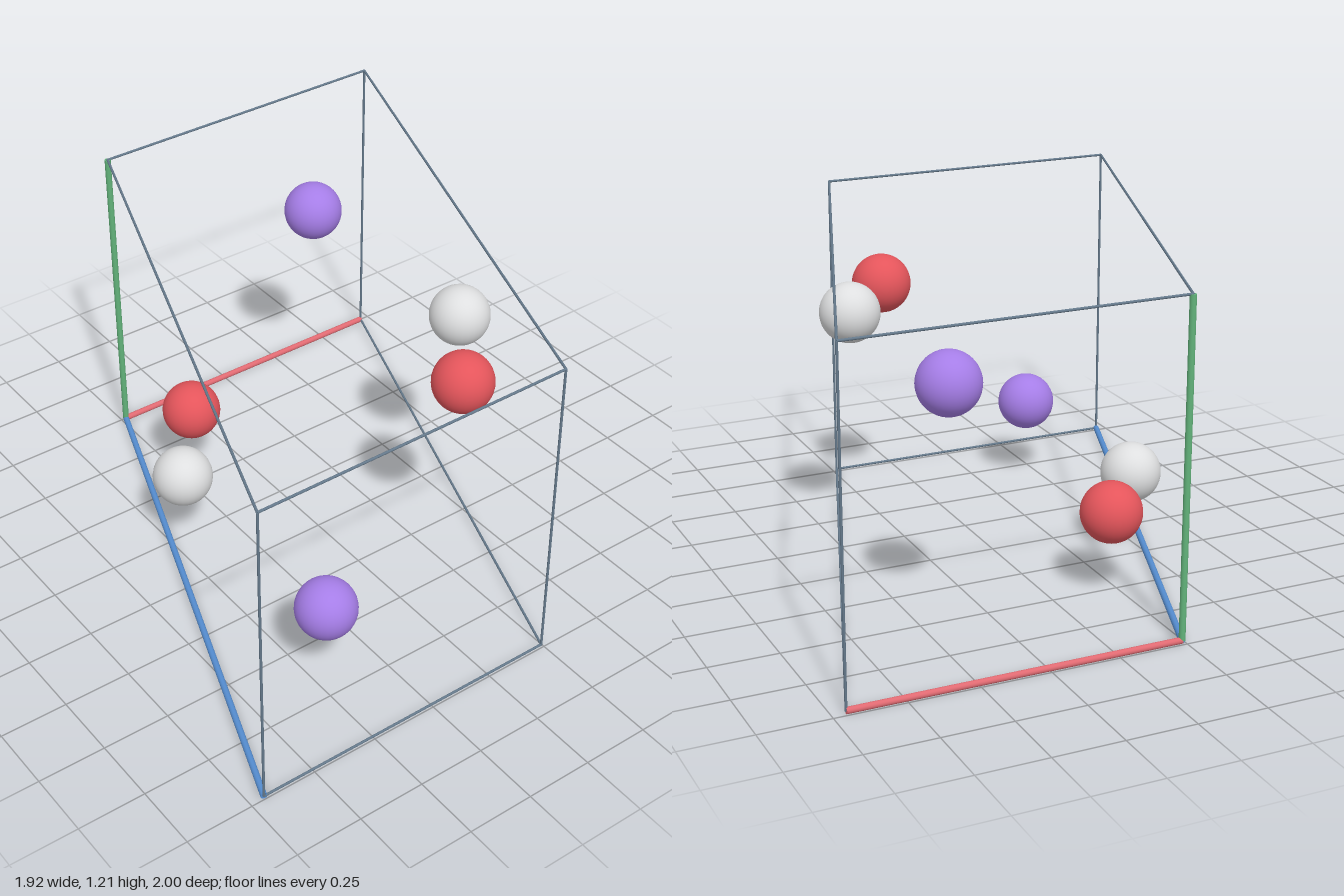
import * as THREE from 'three';

const mat = (name, color) => {
  const m = new THREE.MeshStandardMaterial({ color });
  m.name = name;
  return m;
};

export function createModel() {
  const group = new THREE.Group();
  const edgeMat = mat('slate grey', 0x64788a);
  const purple = mat('purple', 0xa67ee8);
  const red = mat('red', 0xe4555b);
  const grey = mat('light grey', 0xdedfe0);
  const axisRed = mat('axis red', 0xe06a72);
  const axisGreen = mat('axis green', 0x62b27a);
  const axisBlue = mat('axis blue', 0x558dd0);

  // Cell origin and its three edge vectors
  const origin = new THREE.Vector3(-0.236, 0.0115, -0.9885);
  const a = new THREE.Vector3(1.19, 0, 0);
  const b = new THREE.Vector3(0, 1.193, 0);
  const c = new THREE.Vector3(-0.714, 0, 1.984);
  const corner = (i, j, k) => origin.clone()
    .addScaledVector(a, i).addScaledVector(b, j).addScaledVector(c, k);

  // Straight rod between two points
  const up = new THREE.Vector3(0, 1, 0);
  const rod = (name, from, to, radius, material) => {
    const dir = to.clone().sub(from);
    const mesh = new THREE.Mesh(
      new THREE.CylinderGeometry(radius, radius, dir.length(), 24), material);
    mesh.position.copy(from).addScaledVector(dir, 0.5);
    mesh.quaternion.setFromUnitVectors(up, dir.normalize());
    mesh.name = name;
    group.add(mesh);
  };

  // Thick coloured axes from the origin
  rod('axisA', corner(0, 0, 0), corner(1, 0, 0), 0.0115, axisRed);
  rod('axisB', corner(0, 0, 0), corner(0, 1, 0), 0.0115, axisGreen);
  rod('axisC', corner(0, 0, 0), corner(0, 0, 1), 0.0115, axisBlue);

  // Thin edges for the other nine sides of the cell
  for (const [u, v] of [[0, 1], [1, 0], [1, 1]]) {
    rod('cellEdgeA', corner(0, u, v), corner(1, u, v), 0.0045, edgeMat);
    rod('cellEdgeB', corner(u, 0, v), corner(u, 1, v), 0.0045, edgeMat);
    rod('cellEdgeC', corner(u, v, 0), corner(u, v, 1), 0.0045, edgeMat);
  }

  // Atoms in pairs, mirrored through the centre of the cell
  const centre = corner(0.5, 0.5, 0.5);
  const ball = new THREE.SphereGeometry(0.11, 32, 24);
  const atoms = [
    ['purpleAtom', purple, 0.452, 0.297, -0.654],
    ['redAtom', red, 0.205, 0.297, 0.543],
    ['greyAtom', grey, 0.452, 0.297, 0.226],
  ];
  for (const [name, material, x, y, z] of atoms) {
    for (const s of [1, -1]) {
      const atom = new THREE.Mesh(ball, material);
      atom.position.set(x, y, z).multiplyScalar(s).add(centre);
      atom.name = name + (s > 0 ? 'Upper' : 'Lower');
      group.add(atom);
    }
  }
  return group;
}
